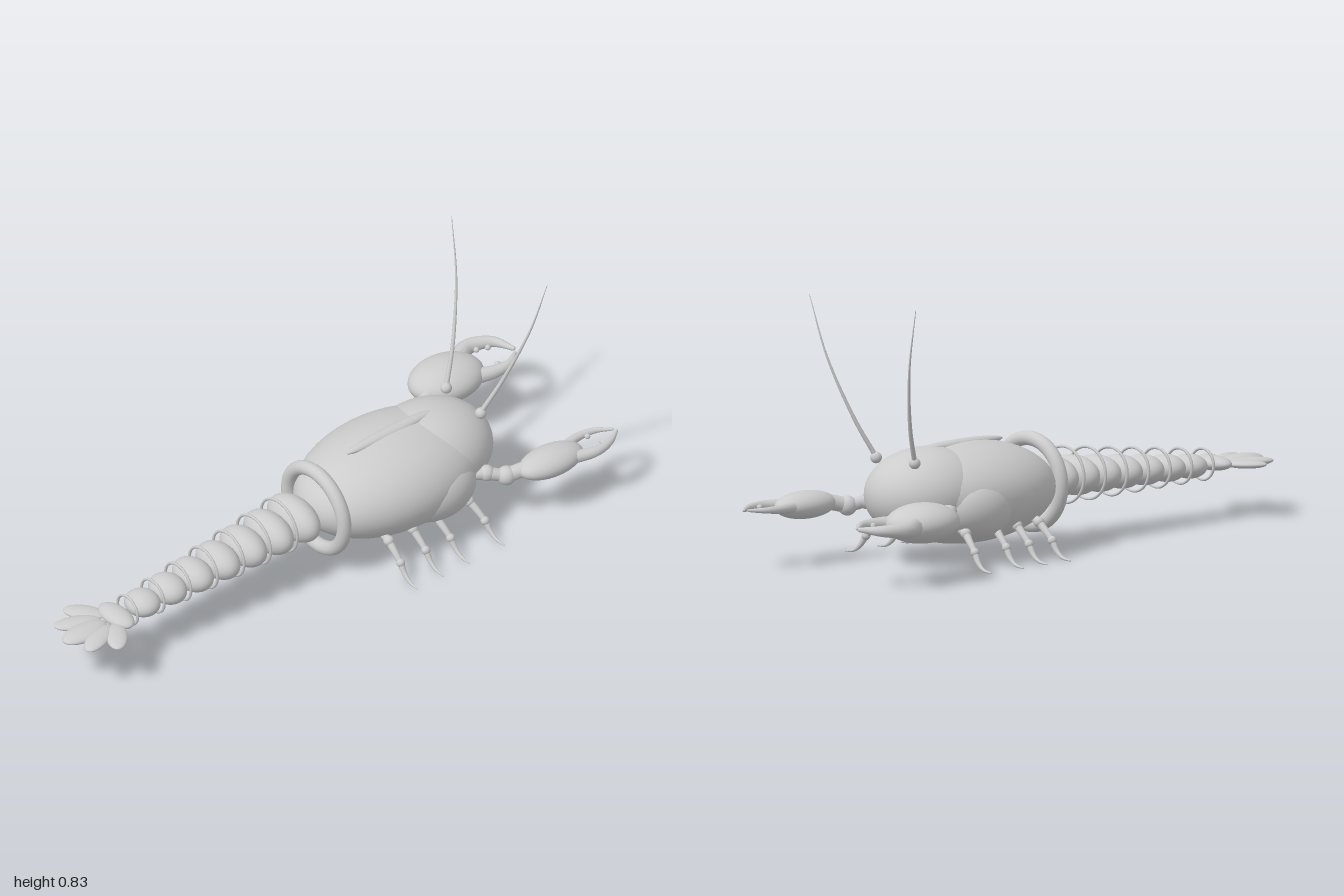
import * as THREE from 'three';

const material = new THREE.MeshStandardMaterial({ color: 0xcccccc });
const fineSphere = new THREE.SphereGeometry(1, 40, 28);
const smallSphere = new THREE.SphereGeometry(1, 16, 12);
const v = (p) => new THREE.Vector3(...p);

function add(parent, name, geometry) {
  const mesh = new THREE.Mesh(geometry, material);
  mesh.name = name;
  parent.add(mesh);
  return mesh;
}

// Sphere stretched to radii r and placed at p
function ellipsoid(parent, name, p, r, geometry = fineSphere) {
  const mesh = add(parent, name, geometry);
  mesh.position.set(...p);
  mesh.scale.set(...r);
  return mesh;
}

const ball = (parent, name, p, r) => ellipsoid(parent, name, p, [r, r, r], smallSphere);

// Tube along a smooth curve whose radius follows radiusAt(t)
function taperedTube(parent, name, points, radiusAt, steps = 14, sides = 12) {
  const curve = new THREE.CatmullRomCurve3(points.map(v));
  const geometry = new THREE.TubeGeometry(curve, steps, 1, sides);
  const pos = geometry.attributes.position;
  const p = new THREE.Vector3();
  for (let i = 0; i <= steps; i++) {
    const c = curve.getPointAt(i / steps);
    for (let j = 0; j <= sides; j++) {
      const k = i * (sides + 1) + j;
      p.fromBufferAttribute(pos, k).sub(c).multiplyScalar(radiusAt(i / steps)).add(c);
      pos.setXYZ(k, p.x, p.y, p.z);
    }
  }
  ball(parent, name + 'Tip', points[points.length - 1], radiusAt(1));
  add(parent, name, geometry);
}

function group(parent, name) {
  const g = new THREE.Group();
  g.name = name;
  parent.add(g);
  return g;
}

// Claw with its arm; s is the side, palm and fingers are given for +x
function buildClaw(parent, name, s, palm, radii, yaw, outer, inner, thickness, teeth) {
  const claw = group(parent, name);
  const m = ([x, y, z]) => [s * x, y, z];
  taperedTube(claw, 'upperArm', [[0.13, 0.18, -0.47], [0.175, 0.178, -0.53], [0.205, 0.165, -0.58]].map(m),
    () => 0.02);
  ball(claw, 'shoulderJoint', m([0.175, 0.178, -0.535]), 0.026);
  ball(claw, 'elbowJoint', m([0.21, 0.165, -0.585]), 0.031);
  taperedTube(claw, 'wrist', [[0.21, 0.165, -0.585], [0.222, 0.172, -0.61], [0.235, 0.18, -0.64]].map(m),
    () => 0.024);
  ellipsoid(claw, 'palm', m(palm), radii).rotation.y = s * yaw;
  const taper = (t) => thickness * (1 - 0.75 * t ** 1.6);
  taperedTube(claw, 'outerFinger', outer.map(m), taper, 28);
  taperedTube(claw, 'innerFinger', inner.map(m), (t) => taper(t) * 0.85, 28);
  teeth.forEach((p) => ball(claw, 'clawTooth', m(p), 0.009));
}

function buildLeg(parent, s, z, lean) {
  const leg = group(parent, s > 0 ? 'leftLeg' : 'rightLeg');
  const at = (x, y, k) => [s * x, y, z + lean * k];
  taperedTube(leg, 'hip', [at(0.12, 0.135, 0), at(0.15, 0.12, 0), at(0.178, 0.108, 0)], () => 0.013);
  ball(leg, 'hipJoint', at(0.178, 0.108, 0), 0.017);
  taperedTube(leg, 'upperLeg', [at(0.178, 0.108, 0), at(0.207, 0.083, 0.4), at(0.235, 0.057, 0.7)],
    (t) => 0.013 - 0.004 * t);
  ball(leg, 'knee', at(0.235, 0.057, 0.7), 0.014);
  taperedTube(leg, 'lowerLeg', [at(0.235, 0.057, 0.7), at(0.256, 0.025, 0.9), at(0.28, 0.008, 1), at(0.313, 0.003, 1.1)],
    (t) => 0.011 - 0.0085 * t);
}

export function createModel() {
  const model = new THREE.Group();
  model.name = 'lobster';
  const body = group(model, 'body');
  body.position.x = 0.018;

  // Carapace, head, side bulges and dorsal ridge
  ellipsoid(body, 'carapace', [0, 0.2, -0.29], [0.222, 0.157, 0.33]);
  ellipsoid(body, 'head', [0, 0.212, -0.45], [0.178, 0.143, 0.21]);
  for (const s of [-1, 1])
    ellipsoid(body, 'cheek', [s * 0.13, 0.175, -0.37], [0.098, 0.1, 0.14]);
  ellipsoid(body, 'dorsalRidge', [0, 0.347, -0.3], [0.022, 0.017, 0.175]);

  // Collar behind the carapace
  const collar = add(body, 'collar', new THREE.TorusGeometry(0.134, 0.0225, 20, 64));
  collar.position.set(0, 0.198, -0.005);

  // Abdomen segments with a thin ring after each
  const abdomen = group(body, 'abdomen');
  for (let i = 0; i < 7; i++) {
    const t = i / 6;
    const z = 0.084 + 0.1 * i;
    const y = 0.203 - 0.035 * t;
    ellipsoid(abdomen, 'abdomenSegment', [0, y, z], [0.107 - 0.048 * t, 0.067 - 0.029 * t, 0.06 - 0.006 * t]);
    const ring = add(abdomen, 'abdomenRing', new THREE.TorusGeometry(0.087 - 0.039 * t, 0.0045, 8, 48));
    ring.position.set(0, y, z + 0.058);
  }

  // Tail fan
  const tail = group(body, 'tailFan');
  ellipsoid(tail, 'tailBase', [0, 0.167, 0.787], [0.073, 0.023, 0.04]);
  const lobes = [[0, 0.205, 0.042, 0.018], [0.43, 0.195, 0.033, 0.014], [0.92, 0.165, 0.033, 0.013]];
  lobes.forEach(([angle, reach, width, depth], i) => {
    for (const s of i ? [-1, 1] : [1]) {
      const lobe = group(tail, 'tailLobe');
      lobe.position.set(0, 0.164, 0.79);
      lobe.rotation.y = s * angle;
      const half = 0.082 - 0.008 * i;
      ellipsoid(lobe, 'tailLobePlate', [0, 0, reach - half], [width, depth, half]);
    }
  });

  // Heavy claw on the right, slender claw on the left
  buildClaw(body, 'heavyClaw', -1, [0.27, 0.182, -0.742], [0.097, 0.062, 0.127], 0.08,
    [[0.315, 0.182, -0.82], [0.347, 0.184, -0.89], [0.316, 0.186, -0.965], [0.25, 0.186, -0.992]],
    [[0.22, 0.182, -0.81], [0.198, 0.184, -0.875], [0.197, 0.186, -0.93], [0.228, 0.186, -0.98]],
    0.029, [[0.316, 0.186, -0.9], [0.303, 0.186, -0.935], [0.22, 0.186, -0.905]]);
  buildClaw(body, 'slenderClaw', 1, [0.252, 0.179, -0.725], [0.062, 0.043, 0.115], -0.06,
    [[0.283, 0.18, -0.78], [0.309, 0.183, -0.86], [0.3, 0.185, -0.92], [0.272, 0.186, -0.97]],
    [[0.232, 0.18, -0.78], [0.217, 0.183, -0.86], [0.227, 0.185, -0.92], [0.257, 0.186, -0.965]],
    0.02, [[0.289, 0.184, -0.885], [0.235, 0.184, -0.885]]);

  // Walking legs and antennae, mirrored
  const legs = group(body, 'legs');
  for (const s of [-1, 1]) {
    [[-0.145, 0], [-0.24, -0.007], [-0.332, -0.016], [-0.462, -0.025]].forEach(([z, lean]) => buildLeg(legs, s, z, lean));
    const antenna = group(body, s > 0 ? 'leftAntenna' : 'rightAntenna');
    ball(antenna, 'antennaBase', [s * 0.083, 0.328, -0.588], 0.018);
    taperedTube(antenna, 'antennaStalk',
      [[0.083, 0.33, -0.588], [0.12, 0.45, -0.645], [0.177, 0.64, -0.705], [0.229, 0.832, -0.73]].map(([x, y, z]) => [s * x, y, z]),
      (t) => 0.008 - 0.007 * t, 40, 10);
  }
  return model;
}
